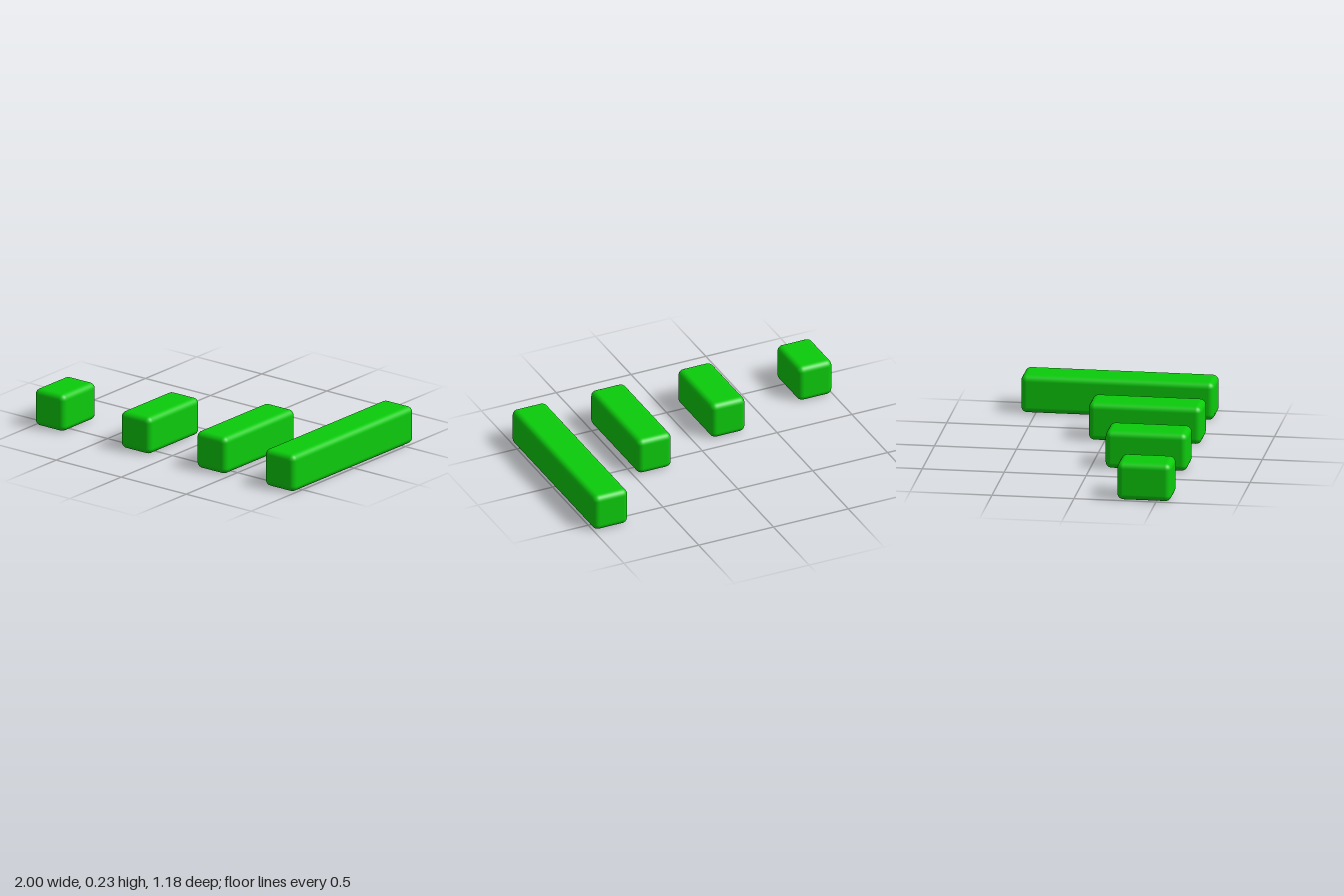
import * as THREE from 'three';
import { RoundedBoxGeometry } from 'three/addons/geometries/RoundedBoxGeometry.js';

const WIDTH = 0.23, HEIGHT = 0.235, FRONT = 0.59, RADIUS = 0.037;

export function createModel() {
  const model = new THREE.Group();
  model.name = 'barSet';
  const green = new THREE.MeshStandardMaterial({ color: 0x0ccc0c });

  // Four rounded bars, flush at the front and growing longer towards +x
  const bars = [
    { name: 'shortestBar', x: -0.885, back: 0.26 },
    { name: 'shortBar', x: -0.223, back: 0.09 },
    { name: 'longBar', x: 0.36, back: -0.10 },
    { name: 'longestBar', x: 0.885, back: -0.59 },
  ];
  for (const { name, x, back } of bars) {
    const bar = new THREE.Mesh(new RoundedBoxGeometry(WIDTH, HEIGHT, FRONT - back, 4, RADIUS), green);
    bar.name = name;
    bar.position.set(x, HEIGHT / 2, (FRONT + back) / 2);
    model.add(bar);
  }
  return model;
}
